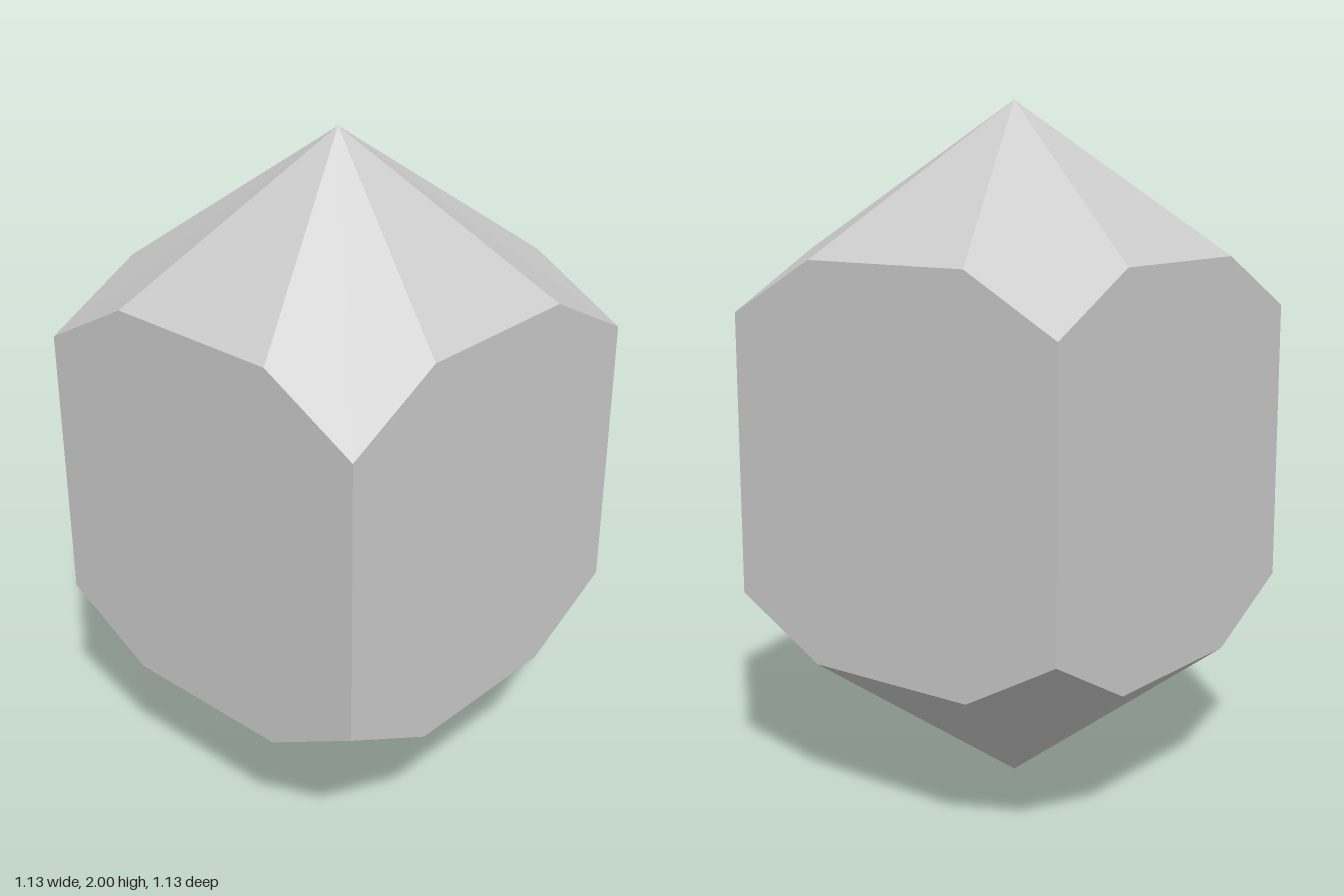
import * as THREE from 'three';

const HALF = 0.563;          // half width of the square prism
const MID_Y = 1.57, CORNER_Y = 1.41;

// Rim of the upper point: [x, height, z], walking from +z to +x, -z, -x
function rim() {
  const points = [];
  const front = [[-0.26, MID_Y, HALF], [0.26, MID_Y, HALF], [HALF, CORNER_Y, HALF]];
  const right = [[HALF, MID_Y, 0.27], [HALF, MID_Y, -0.27], [HALF, CORNER_Y, -HALF]];
  for (const s of [1, -1]) {
    for (const [x, y, z] of [...front, ...right]) points.push(new THREE.Vector3(s * x, y, s * z));
  }
  return points;
}

function facetMesh(name, triangles) {
  const geometry = new THREE.BufferGeometry().setFromPoints(triangles.flat());
  geometry.computeVertexNormals();
  const material = new THREE.MeshStandardMaterial({ color: 0xcccccc, flatShading: true });
  const mesh = new THREE.Mesh(geometry, material);
  mesh.name = name;
  return mesh;
}

export function createModel() {
  const top = rim();
  const bottom = top.map((p) => new THREE.Vector3(p.x, 2 - p.y, p.z));
  const apex = new THREE.Vector3(0, 2, 0);
  const base = new THREE.Vector3(0, 0, 0);
  const upper = [], walls = [], lower = [];

  top.forEach((a, i) => {
    const j = (i + 1) % top.length;
    const b = top[j], c = bottom[i], d = bottom[j];
    upper.push([a, b, apex]);
    walls.push([c, d, b], [c, b, a]);
    lower.push([d, c, base]);
  });

  const crystal = new THREE.Group();
  crystal.name = 'crystal';
  crystal.add(
    facetMesh('upperPoint', upper),
    facetMesh('prismWalls', walls),
    facetMesh('lowerPoint', lower),
  );
  return crystal;
}
